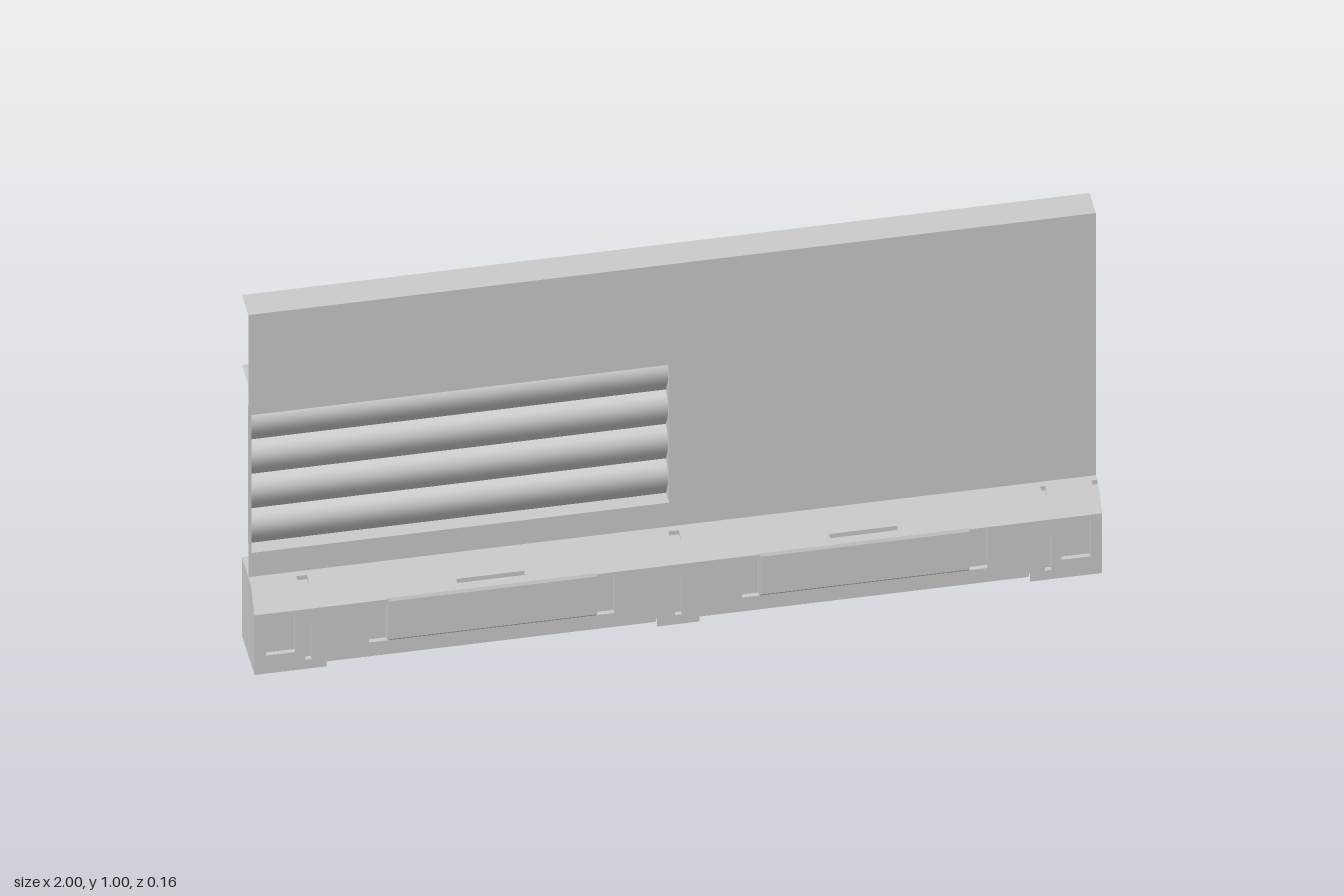
import * as THREE from 'three';
import { mergeGeometries } from 'three/addons/utils/BufferGeometryUtils.js';

const material = new THREE.MeshStandardMaterial({ color: 0xcccccc, side: THREE.DoubleSide });

// Sheet swept along x from a [z, y] profile
function strip(x0, x1, profile, smooth = false) {
  const pos = [], idx = [];
  profile.forEach(([z, y]) => pos.push(x0, y, z, x1, y, z));
  for (let i = 0; i < profile.length - 1; i++) {
    const a = i * 2;
    idx.push(a, a + 2, a + 1, a + 1, a + 2, a + 3);
  }
  let g = new THREE.BufferGeometry();
  g.setAttribute('position', new THREE.Float32BufferAttribute(pos, 3));
  g.setIndex(idx);
  if (smooth) g.computeVertexNormals();
  g = g.toNonIndexed();
  if (!smooth) g.computeVertexNormals();
  return g;
}

// Flat plate at one x, outlined by [z, y] points
function plate(x, pts) {
  const g = new THREE.ShapeGeometry(new THREE.Shape(pts.map(([z, y]) => new THREE.Vector2(z, y)))).toNonIndexed();
  const p = g.attributes.position;
  for (let i = 0; i < p.count; i++) p.setXYZ(i, x, p.getY(i), p.getX(i));
  g.deleteAttribute('uv');
  g.computeVertexNormals();
  return g;
}

// Flat sheet facing +z with rectangular holes [x0, x1, y0, y1]
function sheet(points, z, holes) {
  const s = new THREE.Shape(points.map(([x, y]) => new THREE.Vector2(x, y)));
  for (const [x0, x1, y0, y1] of holes) {
    s.holes.push(new THREE.Path([[x0, y0], [x0, y1], [x1, y1], [x1, y0]].map(([x, y]) => new THREE.Vector2(x, y))));
  }
  const g = new THREE.ShapeGeometry(s).toNonIndexed();
  g.deleteAttribute('uv');
  return g.translate(0, 0, z);
}

// Sheet with both ends closed
const trough = (x0, x1, pts) => [strip(x0, x1, pts), plate(x0, pts), plate(x1, pts)];

export function createModel() {
  const group = new THREE.Group();
  const add = (name, parts) => {
    const m = new THREE.Mesh(mergeGeometries(parts), material);
    m.name = name;
    group.add(m);
  };
  const back = -0.077, front = 0.075;

  // Upper wall with the vent opening
  const vx0 = -0.993, vx1 = -0.007, vy0 = 0.3, vy1 = 0.705;
  add('wallPanel', [sheet([[-1, 0.23], [1, 0.23], [1, 1], [-1, 1]], 0, [[vx0, vx1, vy0, vy1]])]);
  add('topFlange', [strip(-1, 1, [[0, 1], [back, 1]])]);
  add('middleFlange', [strip(-1, 1, [[0, 0.795], [back, 0.795]])]);

  // Vent frame and curved slats
  const frame = [[0, vy0], [-0.04, vy0], [-0.04, vy1], [0, vy1]];
  add('ventFrame', [
    strip(vx0, vx1, [[0, vy0], [-0.04, vy0]]), strip(vx0, vx1, [[0, vy1], [-0.04, vy1]]),
    plate(vx0, frame), plate(vx1, frame),
  ]);
  const pitch = (vy1 - vy0) / 4, slats = [];
  for (let i = 0; i < 4; i++) {
    const pts = [];
    for (let k = 0; k <= 12; k++) {
      const t = k / 12;
      pts.push([-0.038 + 0.026 * Math.sin(Math.PI * Math.pow(t, 0.7)), vy1 - pitch * (i + t)]);
    }
    slats.push(strip(vx0, vx1, pts, true));
  }
  add('ventSlats', slats);

  // Base top and chamfer, with small notches and grip recesses
  const plain = [[back, 0.23], [0.033, 0.23], [front, 0.175]];
  const notch = [[0.033, 0.23], [0.018, 0.23], [0.018, 0.218], [0.0422, 0.218]];
  const grip = [[0.058, 0.1973], [0.058, 0.185], [0.0674, 0.185]];
  const cuts = [
    [-0.89, -0.865, notch], [-0.52, -0.36, grip], [-0.0125, 0.0125, notch],
    [0.36, 0.52, grip], [0.865, 0.877, notch], [0.986, 1, notch],
  ];
  const top = [];
  let x = -1;
  for (const [x0, x1, cut] of cuts) {
    top.push(strip(x, x0, plain));
    const run = cut === notch
      ? [plain[0], ...notch.slice(1), plain[2]]
      : [plain[0], plain[1], ...grip, plain[2]];
    top.push(strip(x0, x1, run), plate(x0, cut));
    if (x1 < 1) top.push(plate(x1, cut));
    x = x1;
  }
  add('baseTop', top);

  // Base front with pockets and a set-back strip along the bottom
  const pockets = [], bulges = [];
  for (const s of [-1, 1]) {
    const span = (a, b, y0, y1) => [Math.min(s * a, s * b), Math.max(s * a, s * b), y0, y1];
    pockets.push(span(0.904, 0.973, 0.053, 0.17), span(0.865, 0.881, 0.027, 0.134));
    pockets.push(span(0.687, 0.73, 0.055, 0.168), span(0.15, 0.191, 0.055, 0.168));
    bulges.push(span(0.193, 0.685, 0.055, 0.172));
  }
  pockets.push([-0.008, 0.008, 0.027, 0.134]);
  const lip = 0.028;
  const outline = [
    [-1, 0], [-0.83, 0], [-0.83, lip], [-0.05, lip], [-0.05, 0], [0.05, 0],
    [0.05, lip], [0.83, lip], [0.83, 0], [1, 0], [1, 0.175], [-1, 0.175],
  ];
  // Slots start just above the lip so the holes stay inside the outline
  add('baseFront', [sheet(outline, front, [...pockets, ...bulges])]);
  add('pockets', pockets.flatMap(([x0, x1, y0, y1]) =>
    trough(x0, x1, [[front, y0], [front - 0.012, y0], [front - 0.012, y1], [front, y1]])));
  add('raisedPanels', bulges.flatMap(([x0, x1, y0]) =>
    trough(x0, x1, [[front, y0], [0.08, y0 + 0.006], [0.08, 0.172], [0.077, 0.18], [0.0712, 0.18]])));
  add('bottomStrips', [[-0.83, -0.05], [0.05, 0.83]].flatMap(([x0, x1]) =>
    trough(x0, x1, [[front, lip], [front - 0.018, lip], [front - 0.018, 0]])));

  // End plates and inner ribs of the open-backed base
  const rib = (z, lead) => [[back, 0], [z, 0], [z, 0.175], ...lead, [0.018, 0.218], [0.018, 0.23], [back, 0.23]];
  add('endPlateRight', [plate(-1, [[back, 0], [front, 0], [front, 0.175], [0.033, 0.23], [back, 0.23]])]);
  add('endPlateLeft', [plate(1, rib(front, [[0.0422, 0.218]]))]);
  add('ribs', [-0.875, 0, 0.875].map((rx) => plate(rx, rib(0.062, [[0.03, 0.218]]))));

  return group;
}
